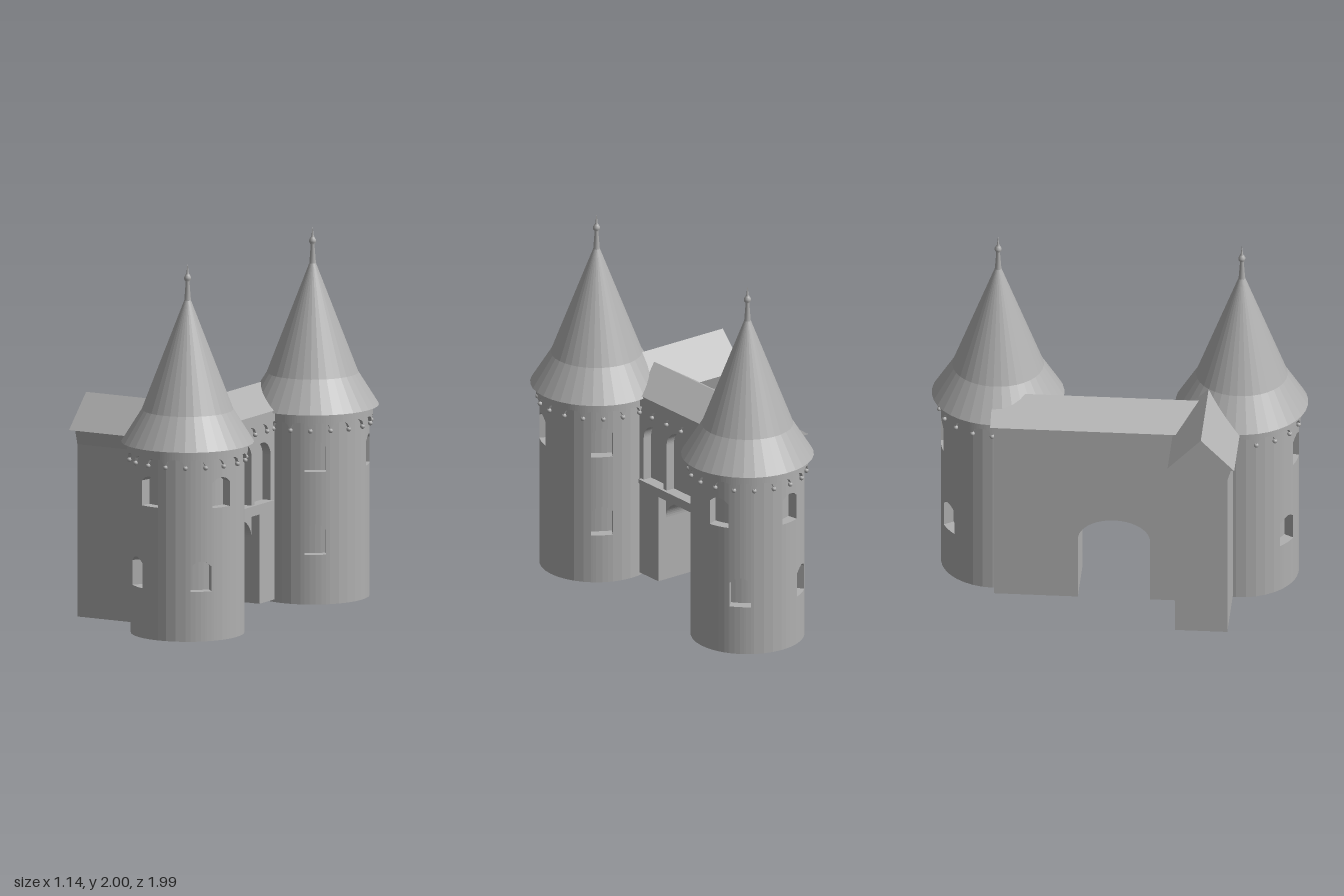
import * as THREE from 'three';

const stone = new THREE.MeshStandardMaterial({ color: 0xb0b0b0 });
stone.name = 'greyStone';

const RAD = Math.PI / 180;
const R = 0.305;          // tower radius
const TURN = 0.2;         // heading of the gatehouse

function mesh(name, geometry, parent) {
  const m = new THREE.Mesh(geometry, stone);
  m.name = name;
  parent.add(m);
  return m;
}

// Faceted surface collected from quads (corners anticlockwise seen from outside)
class Quads {
  constructor() { this.pos = []; }
  add(a, b, c, d) {
    for (const p of [a, b, c, a, c, d]) this.pos.push(p.x, p.y, p.z);
  }
  geometry() {
    const g = new THREE.BufferGeometry();
    g.setAttribute('position', new THREE.Float32BufferAttribute(this.pos, 3));
    g.computeVertexNormals();
    return g;
  }
}

function faceted(g) {
  const f = g.toNonIndexed();
  f.computeVertexNormals();
  return f;
}

const onRing = (deg, y, r = R) =>
  new THREE.Vector3(r * Math.sin(deg * RAD), y, r * Math.cos(deg * RAD));

// Round wall with recessed windows; each window is { at: degrees, y: sill height }
function towerWall(windows) {
  const HALF = 11, DEPTH = 0.06, TOP = 1.035;
  const cuts = new Set();
  for (let d = 0; d < 360; d += 10) cuts.add(d);
  for (const w of windows)
    for (const o of [-HALF, -6, 0, 6, HALF]) cuts.add((w.at + o + 360) % 360);
  const angles = [...cuts].sort((a, b) => a - b);
  angles.push(angles[0] + 360);

  const offset = (deg, w) => ((deg - w.at + 540) % 360) - 180;
  const head = (deg, w) => w.y + 0.165 - 0.03 * (offset(deg, w) / HALF) ** 2;
  const q = new Quads();

  for (let i = 0; i < angles.length - 1; i++) {
    const a = angles[i], b = angles[i + 1], mid = (a + b) / 2;
    const open = windows.filter(w => Math.abs(offset(mid, w)) < HALF).sort((u, v) => u.y - v.y);
    let ya = 0, yb = 0;
    for (const w of open) {
      const ha = head(a, w), hb = head(b, w);
      const n = onRing(w.at, 0, DEPTH);
      const inner = (deg, y) => onRing(deg, y).sub(n);
      q.add(onRing(a, ya), onRing(b, yb), onRing(b, w.y), onRing(a, w.y));
      q.add(onRing(a, w.y), onRing(b, w.y), inner(b, w.y), inner(a, w.y));   // sill
      q.add(inner(a, ha), inner(b, hb), onRing(b, hb), onRing(a, ha));       // head
      q.add(inner(a, w.y), inner(b, w.y), inner(b, hb), inner(a, ha));       // back
      if (Math.abs(offset(a, w) + HALF) < 0.1)
        q.add(onRing(a, w.y), inner(a, w.y), inner(a, ha), onRing(a, ha));
      if (Math.abs(offset(b, w) - HALF) < 0.1)
        q.add(inner(b, w.y), onRing(b, w.y), onRing(b, hb), inner(b, hb));
      ya = ha; yb = hb;
    }
    q.add(onRing(a, ya), onRing(b, yb), onRing(b, TOP), onRing(a, TOP));
  }
  return q.geometry();
}

// Band with a scalloped lower edge; place(u, y, out) maps it to a wall, u in scallops
function scallopBand(name, count, top, place, parent) {
  const STEPS = 8, q = new Quads();
  const low = t => 0.95 + 0.038 * Math.sqrt(Math.max(0, 1 - (2 * t - 1) ** 2));
  for (let i = 0; i < count; i++) {
    for (let s = 0; s < STEPS; s++) {
      const t0 = s / STEPS, t1 = (s + 1) / STEPS, u0 = i + t0, u1 = i + t1;
      const y0 = low(t0), y1 = low(t1);
      q.add(place(u0, y0, 1), place(u1, y1, 1), place(u1, top, 1), place(u0, top, 1));
      q.add(place(u0, y0, 0), place(u1, y1, 0), place(u1, y1, 1), place(u0, y0, 1));
    }
    const drop = mesh(name + 'Drop', new THREE.SphereGeometry(0.013, 10, 8), parent);
    drop.position.copy(place(i, 0.943, 0.6));
  }
  mesh(name, q.geometry(), parent);
}

function tower(name, x, z, upper, lower) {
  const g = new THREE.Group();
  g.name = name;
  g.position.set(x, 0, z);
  const windows = [...upper.map(at => ({ at, y: 0.72 })), ...lower.map(at => ({ at, y: 0.27 }))];
  mesh('towerWall', towerWall(windows), g);
  mesh('towerFloor', new THREE.CircleGeometry(R, 36).rotateX(Math.PI / 2), g);
  scallopBand('towerCornice', 18, 1.035,
    (u, y, out) => onRing(u * 20, y, R - 0.002 + out * 0.02), g);

  // Bell-cast spire
  const spire = [[0.29, 1.035], [0.355, 1.035], [0.245, 1.21], [0.018, 1.8]]
    .map(p => new THREE.Vector2(...p));
  mesh('spireRoof', faceted(new THREE.LatheGeometry(spire, 36)), g);

  const finial = [[0.018, 1.8], [0.01, 1.9], [0.018, 1.912], [0.019, 1.925], [0.012, 1.938],
    [0.007, 1.945], [0, 2]].map(p => new THREE.Vector2(...p));
  mesh('finial', new THREE.LatheGeometry(finial, 14), g);
  return g;
}

// Solid from a (z, y) outline, running from x0 to x1
function alongX(shape, x0, x1) {
  return new THREE.ExtrudeGeometry(shape, { depth: x1 - x0, bevelEnabled: false, curveSegments: 16 })
    .rotateY(-Math.PI / 2).translate(x1, 0, 0);
}

const outline = pts => new THREE.Shape(pts.map(p => new THREE.Vector2(...p)));

// Wall outline with a doorway cut up from the ground; rise 0 gives a square head
function gateOutline(z0, z1, spring, rise) {
  const s = new THREE.Shape();
  s.moveTo(z0, 0.015);
  s.lineTo(-0.18, 0.015);
  s.lineTo(-0.18, spring);
  if (rise) s.absellipse(0.014, spring, 0.194, rise, Math.PI, 0, true);
  else s.lineTo(0.208, spring);
  s.lineTo(0.208, 0.015);
  s.lineTo(z1, 0.015);
  s.lineTo(z1, 1.05);
  s.lineTo(z0, 1.05);
  s.closePath();
  return s;
}

function archHole(z0, z1, bottom, spring, rise) {
  const p = new THREE.Path();
  p.moveTo(z0, bottom);
  p.lineTo(z1, bottom);
  p.lineTo(z1, spring);
  p.absellipse((z0 + z1) / 2, spring, (z1 - z0) / 2, rise, 0, Math.PI, false);
  p.closePath();
  return p;
}

function gatehouse() {
  const g = new THREE.Group();
  g.name = 'gatehouse';
  g.rotation.y = TURN;

  // Arched core wall with a front skin holding the blind arcade
  mesh('gateWall', alongX(gateOutline(-0.63, 0.5, 0.37, 0.125), -0.31, -0.03), g);
  const skin = gateOutline(-0.5, 0.5, 0.5, 0);
  skin.holes.push(
    archHole(-0.297, -0.127, 0.56, 0.8, 0.085),
    archHole(-0.098, 0.137, 0.56, 0.82, 0.095),
    archHole(0.162, 0.335, 0.56, 0.8, 0.085));
  mesh('arcadeWall', alongX(skin, -0.03, 0.02), g);
  const sill = mesh('arcadeSill', new THREE.BoxGeometry(0.03, 0.022, 0.66), g);
  sill.position.set(0.022, 0.549, 0.027);
  scallopBand('gateCornice', 6, 1.05,
    (u, y, out) => new THREE.Vector3(0.018 + out * 0.018, y, 0.38 - u * 0.125), g);

  // Gate roof: ridge runs along z
  const roof = new THREE.ExtrudeGeometry(
    outline([[-0.327, 1.048], [0.042, 1.048], [-0.145, 1.16]]),
    { depth: 1.11, bevelEnabled: false }).translate(0, 0, -0.649);
  mesh('gateRoof', roof, g);

  // Side wing: flared eaves, ridge runs along x
  const wing = outline([[0.365, 0.015], [0.645, 0.015], [0.645, 0.95], [0.668, 1.03],
    [0.342, 1.03], [0.365, 0.95]]);
  mesh('wingWall', alongX(wing, -0.621, 0), g);
  mesh('wingRoof', alongX(outline([[0.327, 1.03], [0.684, 1.03], [0.505, 1.21]]), -0.65, 0.04), g);
  return g;
}

export function createModel() {
  const model = new THREE.Group();
  model.name = 'castleGate';
  model.add(
    tower('frontTower', 0.21, 0.64, [0, 79, 159], [-21, 56, 159]),
    tower('rearTower', -0.05, -0.64, [45, 123, 202], [45, 146, 225]),
    gatehouse());
  return model;
}
